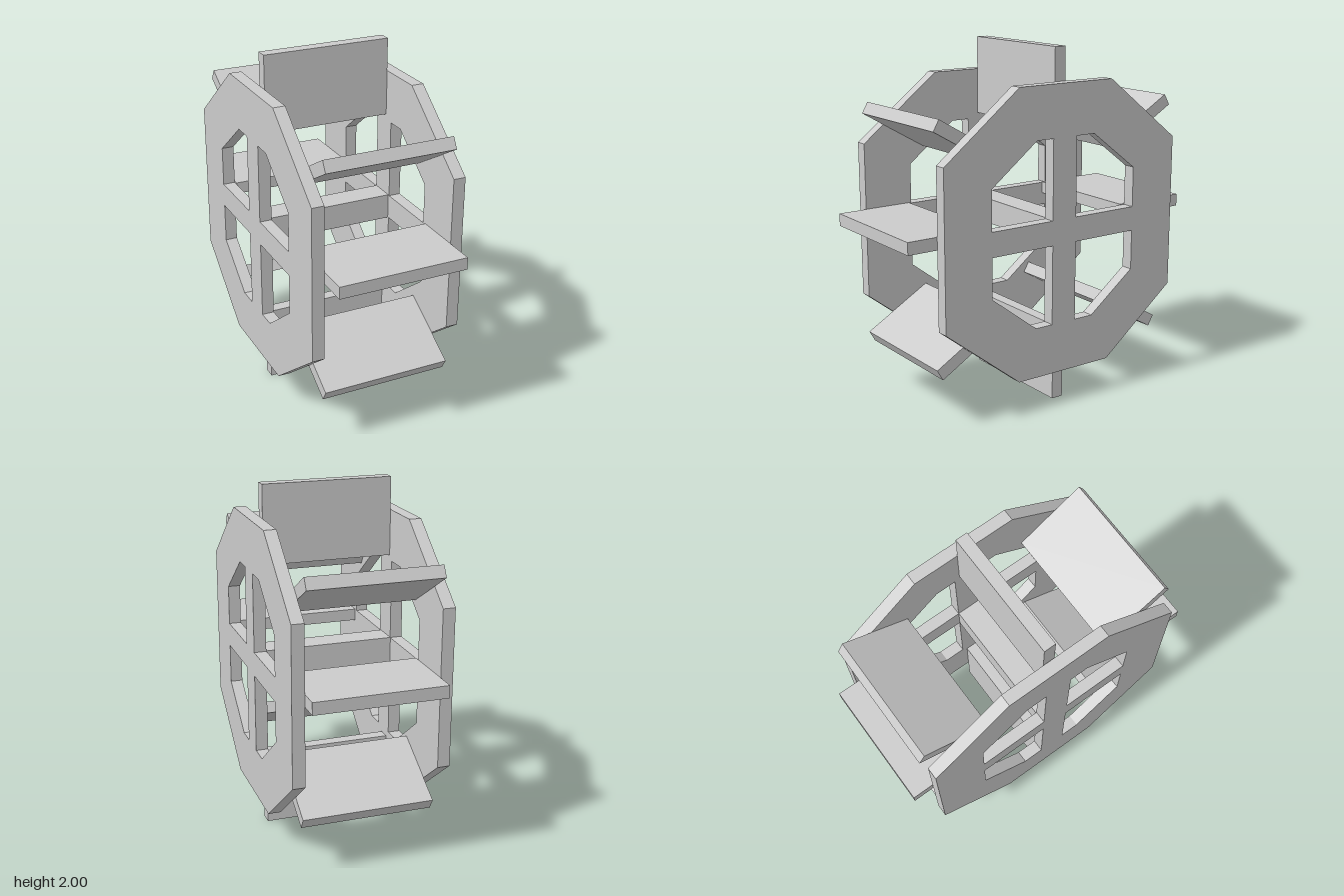
import * as THREE from 'three';

const material = new THREE.MeshStandardMaterial({ color: 0xcccccc, flatShading: true });
const MID = 1; // height of the axle
const THICK = 0.07;
const LENGTH = 0.445;

function add(parent, name, geometry) {
  const mesh = new THREE.Mesh(geometry, material);
  mesh.name = name;
  parent.add(mesh);
  return mesh;
}

const points = list => list.map(([z, y]) => new THREE.Vector2(z, y));

// Octagonal side plate with four clipped-corner windows; shape x runs along z
function sideGeometry() {
  const shape = new THREE.Shape(points([
    [0.31, 0.813], [-0.31, 0.813], [-0.78, 0.447], [-0.78, -0.44],
    [-0.31, -0.81], [0.31, -0.81], [0.78, -0.44], [0.78, 0.447],
  ]));
  for (const sz of [1, -1]) {
    for (const sy of [1, -1]) {
      const hole = [[0.08, 0.07], [0.485, 0.07], [0.485, 0.3], [0.195, 0.522], [0.08, 0.522]];
      // the spokes sit slightly forward of the plate centre
      shape.holes.push(new THREE.Path(points(hole.map(([z, y]) =>
        [sz * z + (z < 0.1 ? 0.007 : 0.002), sy * y]))));
    }
  }
  return new THREE.ExtrudeGeometry(shape, { depth: THICK, bevelEnabled: false });
}

export function createModel() {
  const wheel = new THREE.Group();
  wheel.name = 'paddleWheel';

  // Side plates
  const side = sideGeometry();
  for (const [name, x, z] of [['leftSide', 0.44, -0.028], ['rightSide', -0.373, -0.022]]) {
    const plate = add(wheel, name, side);
    plate.rotation.y = -Math.PI / 2;
    plate.position.set(x, MID, z);
  }

  // Square axle
  add(wheel, 'axle', new THREE.BoxGeometry(0.745, 0.145, 0.15)).position.set(0, MID, -0.025);

  // Paddles: middle of the outer edge (z, y) and the outward angle in degrees
  const board = new THREE.BoxGeometry(0.74, THICK, LENGTH);
  const paddles = [
    [0.927, 1.04, 0], [0.748, 1.65, 30], [-0.035, 2, 90], [-0.82, 1.65, 150],
    [-0.925, 1.04, 180], [-0.745, 0.318, 210], [-0.035, 0, 270], [0.748, 0.318, 330],
  ];
  paddles.forEach(([z, y, degrees], i) => {
    const a = THREE.MathUtils.degToRad(degrees);
    const paddle = add(wheel, `paddle${i + 1}`, board);
    paddle.rotation.x = -a;
    paddle.position.set(0, y - Math.sin(a) * LENGTH / 2, z - Math.cos(a) * LENGTH / 2);
  });

  return wheel;
}
